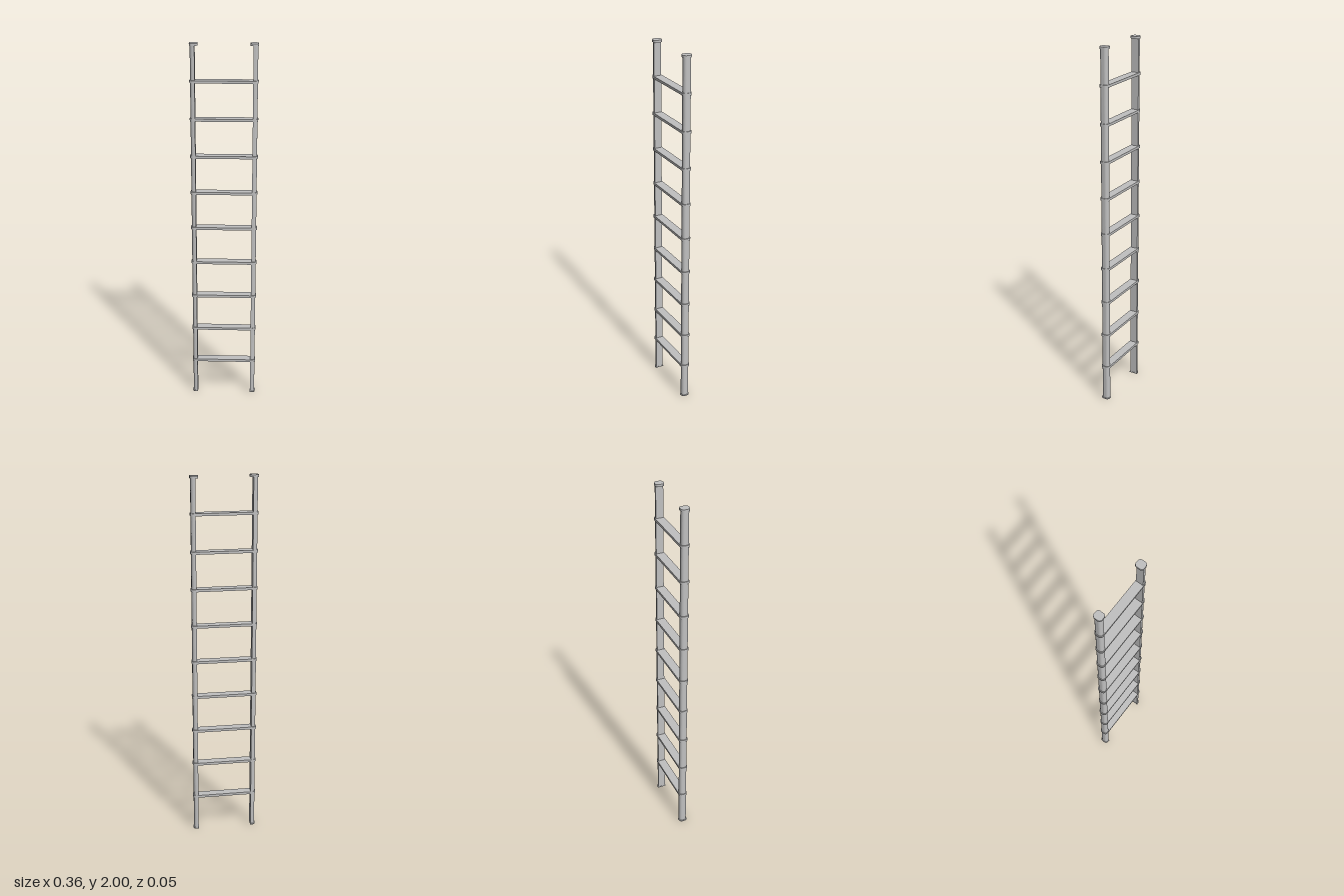
import * as THREE from 'three';

// Vertical prism: plan outline with separate corner radii on its -x and +x ends
function plate(x0, x1, halfZ, rLeft, rRight, y0, height, material, name) {
  const s = new THREE.Shape();
  s.moveTo(x0 + rLeft, -halfZ);
  s.lineTo(x1 - rRight, -halfZ);
  if (rRight) s.absarc(x1 - rRight, -halfZ + rRight, rRight, -Math.PI / 2, 0, false);
  s.lineTo(x1, halfZ - rRight);
  if (rRight) s.absarc(x1 - rRight, halfZ - rRight, rRight, 0, Math.PI / 2, false);
  s.lineTo(x0 + rLeft, halfZ);
  if (rLeft) s.absarc(x0 + rLeft, halfZ - rLeft, rLeft, Math.PI / 2, Math.PI, false);
  s.lineTo(x0, -halfZ + rLeft);
  if (rLeft) s.absarc(x0 + rLeft, -halfZ + rLeft, rLeft, Math.PI, Math.PI * 1.5, false);
  const geo = new THREE.ExtrudeGeometry(s, { depth: height, bevelEnabled: false, curveSegments: 8 });
  geo.rotateX(-Math.PI / 2);
  geo.translate(0, y0, 0);
  const mesh = new THREE.Mesh(geo, material);
  mesh.name = name;
  return mesh;
}

export function createModel() {
  const metal = new THREE.MeshStandardMaterial({ color: 0xc0c0c0 });
  metal.name = 'lightGreyMetal';
  const ladder = new THREE.Group();
  ladder.name = 'ladder';

  // Side rails, flat inside and rounded outside, with end caps
  for (const [side, turn] of [['left', 0], ['right', Math.PI]]) {
    const rail = new THREE.Group();
    rail.name = side + 'Rail';
    rail.add(
      plate(0.15, 0.174, 0.0205, 0, 0.015, 0.004, 1.99, metal, 'railPost'),
      plate(0.149, 0.178, 0.024, 0, 0.017, 0, 0.006, metal, 'footCap'),
      plate(0.134, 0.178, 0.024, 0.015, 0.017, 1.988, 0.012, metal, 'topCap')
    );
    rail.rotation.y = turn;
    ladder.add(rail);
  }

  // Nine flat rungs that pass through the rails
  for (let i = 1; i <= 9; i++) {
    ladder.add(plate(-0.178, 0.178, 0.024, 0.017, 0.017, 0.2 * i - 0.004, 0.014, metal, 'rung' + i));
  }
  return ladder;
}
